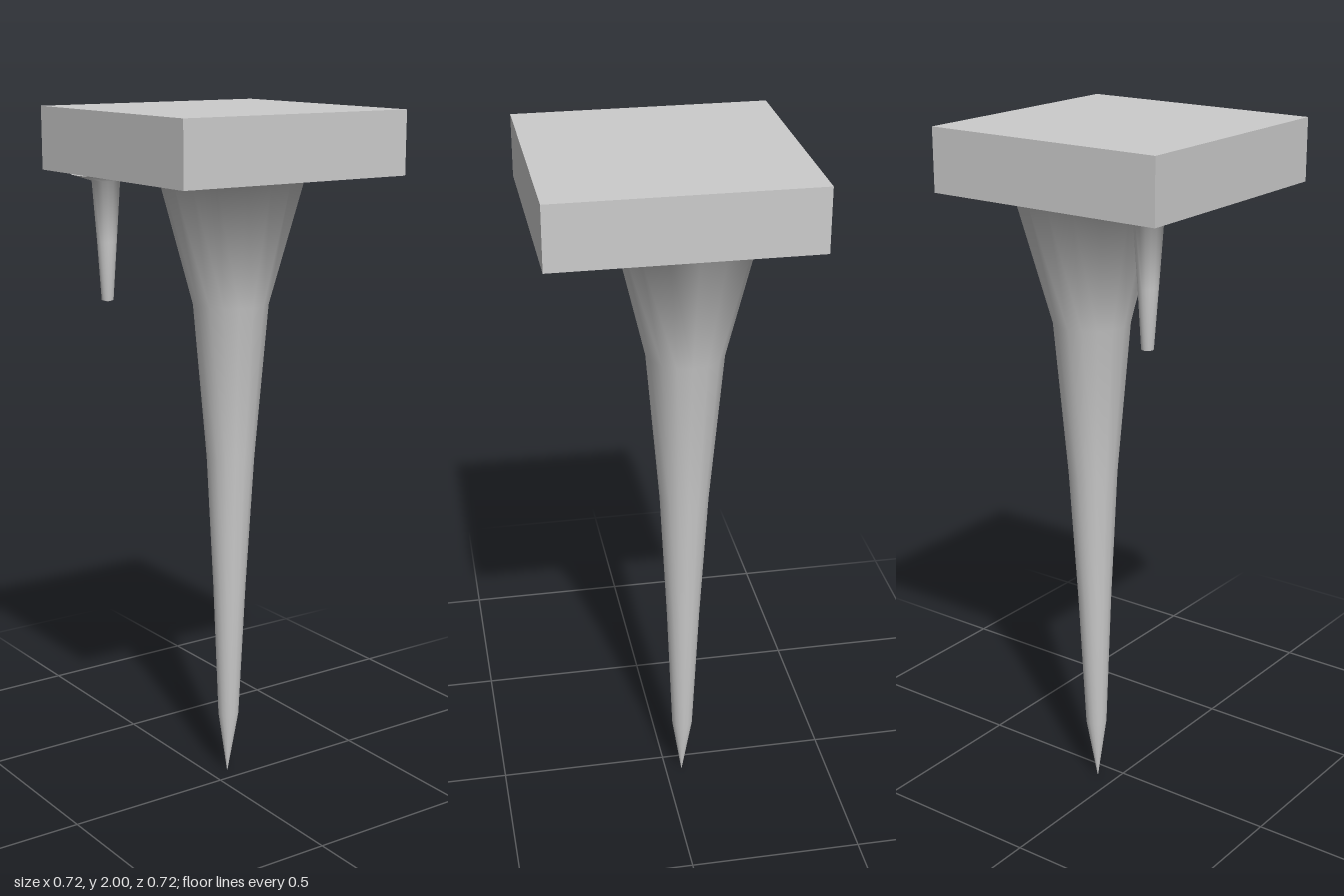
import * as THREE from 'three';

const SIDES = 16;

// Smooth skin through rings listed from top to bottom; each ring is
// { y, x, z, r, square } where square blends a circle (0) into a square (1).
function loft(rings) {
  const pos = [], idx = [];
  for (const { y, x, z, r, square = 0 } of rings) {
    for (let i = 0; i < SIDES; i++) {
      const a = (i / SIDES) * Math.PI * 2;
      const c = Math.cos(a), s = Math.sin(a);
      const k = r * (1 + square * (1 / Math.max(Math.abs(c), Math.abs(s)) - 1));
      pos.push(x + c * k, y, z + s * k);
    }
  }
  for (let j = 0; j < rings.length - 1; j++) {
    for (let i = 0; i < SIDES; i++) {
      const a = j * SIDES + i, b = j * SIDES + (i + 1) % SIDES;
      const c = a + SIDES, d = b + SIDES;
      idx.push(a, b, c, b, d, c);
    }
  }
  const g = new THREE.BufferGeometry();
  g.setAttribute('position', new THREE.Float32BufferAttribute(pos, 3));
  g.setIndex(idx);
  g.computeVertexNormals();
  return g;
}

export function createModel() {
  const group = new THREE.Group();
  const material = new THREE.MeshStandardMaterial({ color: 0xcccccc, side: THREE.DoubleSide });
  const add = (name, geometry) => {
    const mesh = new THREE.Mesh(geometry, material);
    mesh.name = name;
    group.add(mesh);
    return mesh;
  };

  // Square slab on top
  add('ceilingSlab', new THREE.BoxGeometry(0.716, 0.175, 0.716)).position.y = 1.9125;

  // Underside sweeping from the square rim into the long spike
  add('mainSpike', loft([
    { y: 1.825, x: 0, z: 0, r: 0.358, square: 1 },
    { y: 1.8, x: 0.07, z: -0.05, r: 0.192, square: 0.2 },
    { y: 1.45, x: 0.07, z: -0.05, r: 0.11 },
    { y: 1.0, x: 0.07, z: -0.05, r: 0.071 },
    { y: 0.6, x: 0.067, z: -0.05, r: 0.049 },
    { y: 0.19, x: 0.064, z: -0.05, r: 0.031 },
    { y: 0, x: 0.06, z: -0.05, r: 0.001 },
  ]));

  // Short blunt spike near the back corner, with a flared root
  add('smallSpike', loft([
    { y: 1.818, x: -0.235, z: -0.215, r: 0.1 },
    { y: 1.8, x: -0.238, z: -0.215, r: 0.04 },
    { y: 1.63, x: -0.238, z: -0.215, r: 0.028 },
    { y: 1.465, x: -0.238, z: -0.217, r: 0.017 },
    { y: 1.46, x: -0.238, z: -0.217, r: 0.001 },
  ]));

  return group;
}
